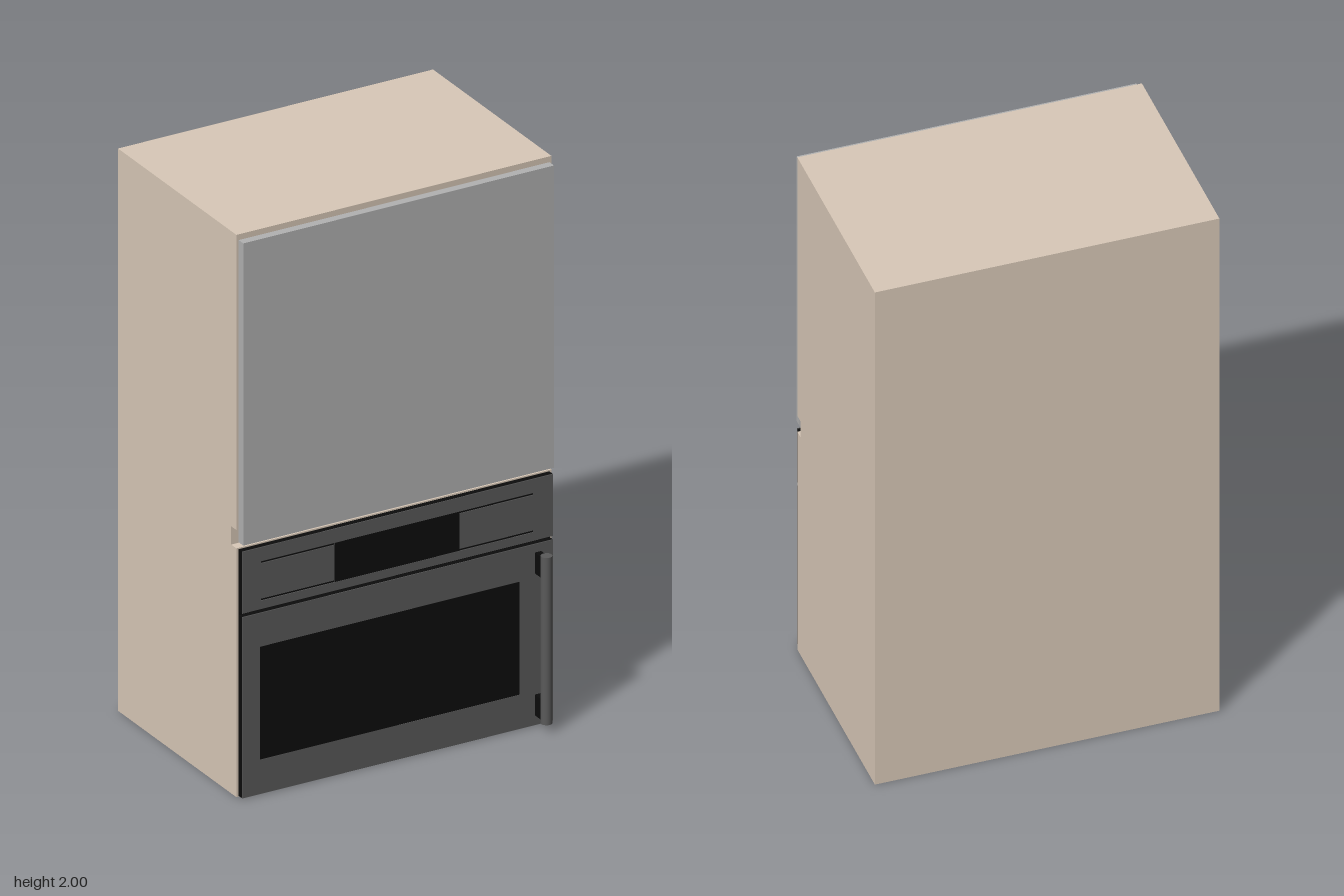
import * as THREE from 'three';

const paint = (color) => new THREE.MeshStandardMaterial({ color });

export function createModel() {
  const group = new THREE.Group();
  const wood = paint(0xd9c9b8), grey = paint(0xb2b2b2);
  const steel = paint(0x5a5a5a), black = paint(0x0c0c0c);

  const add = (name, geometry, material) => {
    const mesh = new THREE.Mesh(geometry, material);
    mesh.name = name;
    group.add(mesh);
    return mesh;
  };
  // Box given by its limits along each axis
  const box = (name, material, [x0, x1], [y0, y1], [z0, z1]) =>
    add(name, new THREE.BoxGeometry(x1 - x0, y1 - y0, z1 - z0), material)
      .position.set((x0 + x1) / 2, (y0 + y1) / 2, (z0 + z1) / 2);
  const rect = (target, [x0, x1], [y0, y1]) => {
    target.moveTo(x0, y0).lineTo(x1, y0).lineTo(x1, y1).lineTo(x0, y1).closePath();
    return target;
  };
  // Thin steel facing with rectangular openings
  const facing = (name, xs, ys, [z0, z1], holes) => {
    const shape = rect(new THREE.Shape(), xs, ys);
    holes.forEach(([hx, hy]) => shape.holes.push(rect(new THREE.Path(), hx, hy)));
    const geometry = new THREE.ExtrudeGeometry(shape, { depth: z1 - z0, bevelEnabled: false });
    add(name, geometry.translate(0, 0, z0), steel);
  };

  // Cabinet: side profile with a finger groove, extruded across the width
  const profile = new THREE.Shape([
    [-0.425, 0], [0.328, 0], [0.328, 0.885], [0.295, 0.885],
    [0.295, 0.95], [0.328, 0.95], [0.328, 2], [-0.425, 2],
  ].map(([z, y]) => new THREE.Vector2(-z, y)));
  const carcass = new THREE.ExtrudeGeometry(profile, { depth: 1.174, bevelEnabled: false });
  add('cabinet', carcass.translate(0, 0, -0.587).rotateY(Math.PI / 2), wood);

  // Upper door
  const width = [-0.579, 0.579];
  box('upperDoor', grey, width, [0.905, 1.98], [0.329, 0.358]);

  // Oven body behind the fronts
  box('ovenBacking', black, width, [0.003, 0.88], [0.327, 0.331]);

  // Control panel with display and two trim slots
  const panelY = [0.66, 0.88], display = [-0.235, 0.23];
  box('controlPanelBody', black, width, panelY, [0.331, 0.349]);
  facing('controlPanelFace', width, panelY, [0.349, 0.352], [
    [display, [0.69, 0.83]],
    ...[[-0.51, -0.2351], [0.2301, 0.505]].flatMap((x) =>
      [[0.69, 0.697], [0.823, 0.83]].map((y) => [x, y])),
  ]);
  box('display', black, display, [0.69, 0.83], [0.348, 0.351]);

  // Oven door with window
  const doorY = [0.003, 0.647], windowX = [-0.513, 0.454], windowY = [0.125, 0.527];
  box('ovenDoorBody', black, width, doorY, [0.331, 0.349]);
  facing('ovenDoorFace', width, doorY, [0.349, 0.352], [[windowX, windowY]]);
  box('ovenWindow', black, windowX, windowY, [0.348, 0.351]);

  // Vertical handle on two mounts
  const handleX = 0.523;
  add('handle', new THREE.CylinderGeometry(0.019, 0.019, 0.595, 32), steel)
    .position.set(handleX, 0.328, 0.406);
  for (const y of [0.075, 0.58])
    box('handleMount', black, [handleX - 0.012, handleX + 0.012], [y - 0.037, y + 0.037], [0.351, 0.4]);

  return group;
}
